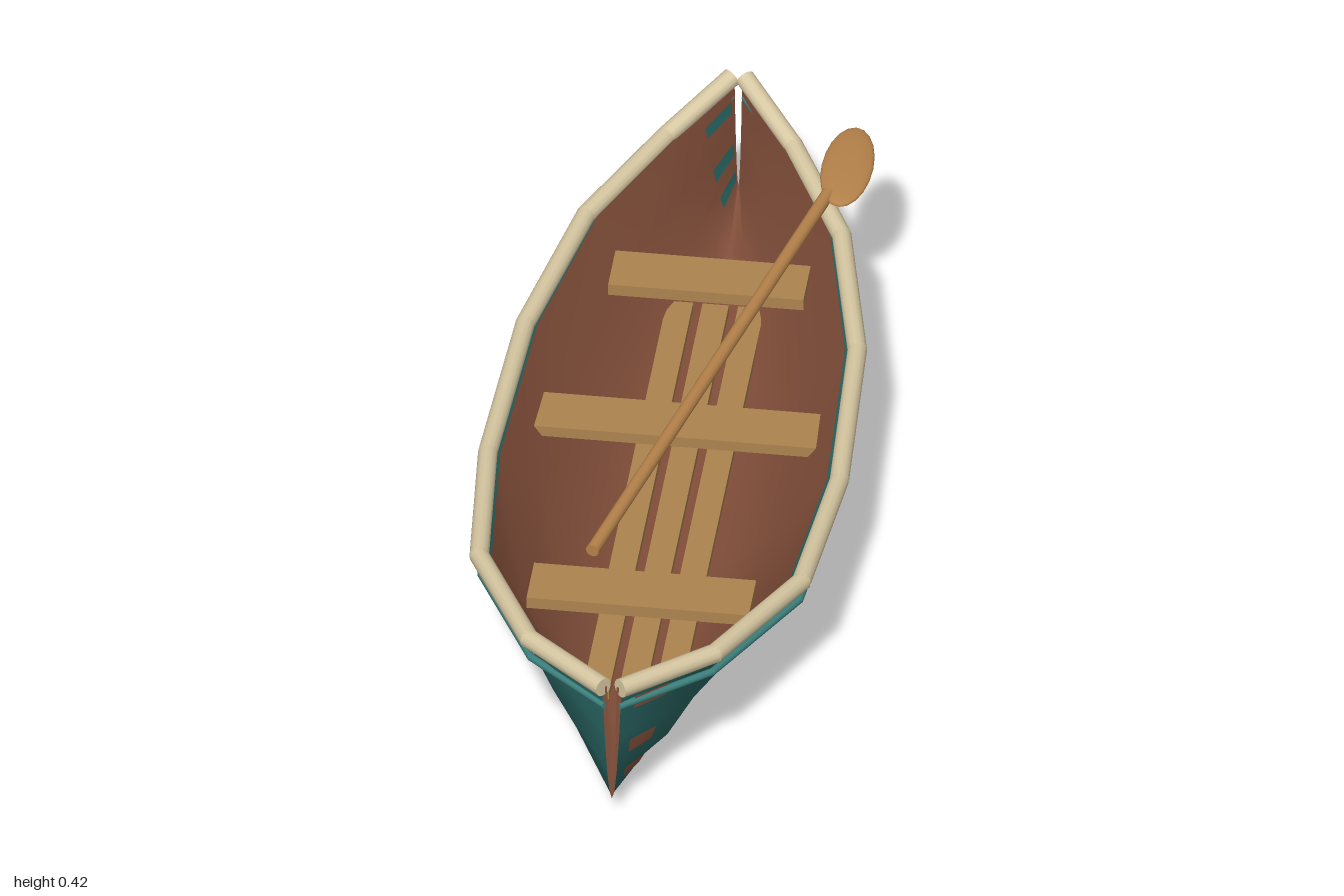
import * as THREE from 'three';

// stations from bow to stern: z, rail half width, rail height, keel height
const STATIONS = [
  [0.982, 0.02, 0.335, 0.05], [0.83, 0.19, 0.325, 0.037], [0.54, 0.33, 0.303, 0.011],
  [0.18, 0.36, 0.291, 0.003], [-0.25, 0.34, 0.296, 0.01], [-0.6, 0.262, 0.316, 0.029],
  [-0.85, 0.13, 0.343, 0.055], [-0.982, 0.016, 0.4, 0.115],
];
const SIDE_STEPS = 4;

// point on the outer or inner skin; t runs from -1 to 1 across the boat
function skinPoint(z, t, inner) {
  let i = 0;
  while (i < STATIONS.length - 2 && z < STATIONS[i + 1][0]) i++;
  const a = STATIONS[i], b = STATIONS[i + 1], f = (z - a[0]) / (b[0] - a[0]);
  const mix = (k) => a[k] + (b[k] - a[k]) * f;
  const outerW = mix(1) * 0.985;
  const w = inner ? Math.max(outerW - 0.02, outerW * 0.5) : outerW;
  const keel = mix(3) + (inner ? 0.012 : 0);
  const s = Math.abs(t) * SIDE_STEPS, lo = Math.min(Math.floor(s), SIDE_STEPS - 1);
  const y0 = (lo / SIDE_STEPS) ** 2, y1 = ((lo + 1) / SIDE_STEPS) ** 2;
  return [w * t, keel + (mix(2) - keel) * (y0 + (y1 - y0) * (s - lo)), z];
}

// smooth sheet from rows of points
function sheet(rows) {
  const n = rows[0].length, index = [];
  for (let i = 0; i < rows.length - 1; i++) {
    for (let j = 0; j < n - 1; j++) {
      const a = i * n + j, b = a + n;
      index.push(a, a + 1, b, a + 1, b + 1, b);
    }
  }
  const g = new THREE.BufferGeometry();
  g.setAttribute('position', new THREE.Float32BufferAttribute(rows.flat(2), 3));
  g.setIndex(index);
  g.computeVertexNormals();
  return g;
}

export function createModel() {
  const boat = new THREE.Group();
  boat.name = 'rowingBoat';
  const material = (name, color, side = THREE.FrontSide) => {
    const m = new THREE.MeshStandardMaterial({ color, side });
    m.name = name;
    return m;
  };
  const hullTeal = material('hullTeal', 0x2a6966, THREE.DoubleSide);
  const strakeTeal = material('strakeTeal', 0x3d827e);
  const innerBrown = material('innerBrown', 0x834f3a, THREE.DoubleSide);
  const railCream = material('railCream', 0xd6c7a1);
  const seatWood = material('seatWood', 0xad8350);
  const oarWood = material('oarWood', 0xb5824a);

  const add = (name, geometry, mat, parent = boat) => {
    const mesh = new THREE.Mesh(geometry, mat);
    mesh.name = name;
    parent.add(mesh);
    return mesh;
  };
  const rod = (name, from, to, r, mat, parent, sides = 12) => {
    const a = new THREE.Vector3(...from), b = new THREE.Vector3(...to);
    const dir = b.clone().sub(a);
    const mesh = add(name, new THREE.CylinderGeometry(r, r, dir.length() + r * 0.4, sides), mat, parent);
    mesh.position.copy(a).add(b).multiplyScalar(0.5);
    mesh.quaternion.setFromUnitVectors(new THREE.Vector3(0, 1, 0), dir.normalize());
    return mesh;
  };
  const box = (name, w, h, d, x, y, z, parent = boat) =>
    add(name, new THREE.BoxGeometry(w, h, d), seatWood, parent).position.set(x, y, z);

  // outer and inner skins
  const ts = [];
  for (let j = -SIDE_STEPS; j <= SIDE_STEPS; j++) ts.push(j / SIDE_STEPS);
  const skin = (inner) => sheet(STATIONS.map(([z]) => ts.map((t) => skinPoint(z, t, inner))));
  add('outerHull', skin(false), hullTeal);
  add('innerHull', skin(true), innerBrown);

  // brown edges closing the gap between the skins at bow and stern
  for (const [name, z] of [['bowEdge', 0.982], ['sternEdge', -0.982]]) {
    add(name, sheet([ts.map((t) => skinPoint(z, t, false)), ts.map((t) => skinPoint(z, t, true))]), innerBrown);
  }

  // small patches near the ends, outside and inside
  for (const end of [1, -1]) {
    for (const [t0, t1] of [[0.36, 0.48], [0.6, 0.69], [0.87, 0.93]]) {
      for (const inner of [false, true]) {
        const shift = end * (inner ? -0.005 : 0.004);
        const corner = (z, t) => {
          const p = skinPoint(z * end, t * end, inner);
          return [p[0] + shift, p[1], p[2]];
        };
        add(inner ? 'innerPatch' : 'outerPatch',
          sheet([0.9, 0.96].map((z) => [corner(z, t0), corner(z, t1)])),
          inner ? hullTeal : innerBrown);
      }
    }
  }

  // segmented rail and the thin strake below it, both sides
  for (const side of [1, -1]) {
    const rail = new THREE.Group(), strake = new THREE.Group();
    rail.name = side > 0 ? 'leftRail' : 'rightRail';
    strake.name = side > 0 ? 'leftStrake' : 'rightStrake';
    boat.add(rail, strake);
    for (let i = 0; i < STATIONS.length - 1; i++) {
      const [a, b] = [STATIONS[i], STATIONS[i + 1]];
      const at = (s, drop, inset) => [side * Math.max(s[1] - inset, 0.014), s[2] - drop, s[0]];
      rod('railSegment', at(a, 0, 0), at(b, 0, 0), 0.02, railCream, rail);
      rod('strakeSegment', at(a, 0.047, 0.004), at(b, 0.047, 0.004), 0.008, strakeTeal, strake, 8);
    }
  }

  // seats; the ends of the middle one pass through the hull
  box('frontSeat', 0.455, 0.026, 0.118, 0, 0.226, 0.525);
  box('middleSeat', 0.632, 0.024, 0.115, 0, 0.225, -0.047);
  box('rearSeat', 0.4, 0.026, 0.115, 0, 0.226, -0.532);

  // floor slats
  for (const x of [-0.073, 0, 0.073]) box('floorSlat', 0.054, 0.02, 1.31, x, 0.08, 0.025);

  // oar resting across the boat
  const oar = new THREE.Group();
  oar.name = 'oar';
  boat.add(oar);
  rod('oarShaft', [-0.1, 0.325, 0.52], [0.222, 0.35, -0.69], 0.014, oarWood, oar);
  const blade = add('oarBlade', new THREE.SphereGeometry(1, 20, 12), oarWood, oar);
  blade.scale.set(0.053, 0.013, 0.134);
  blade.position.set(0.25, 0.352, -0.78);

  return boat;
}
